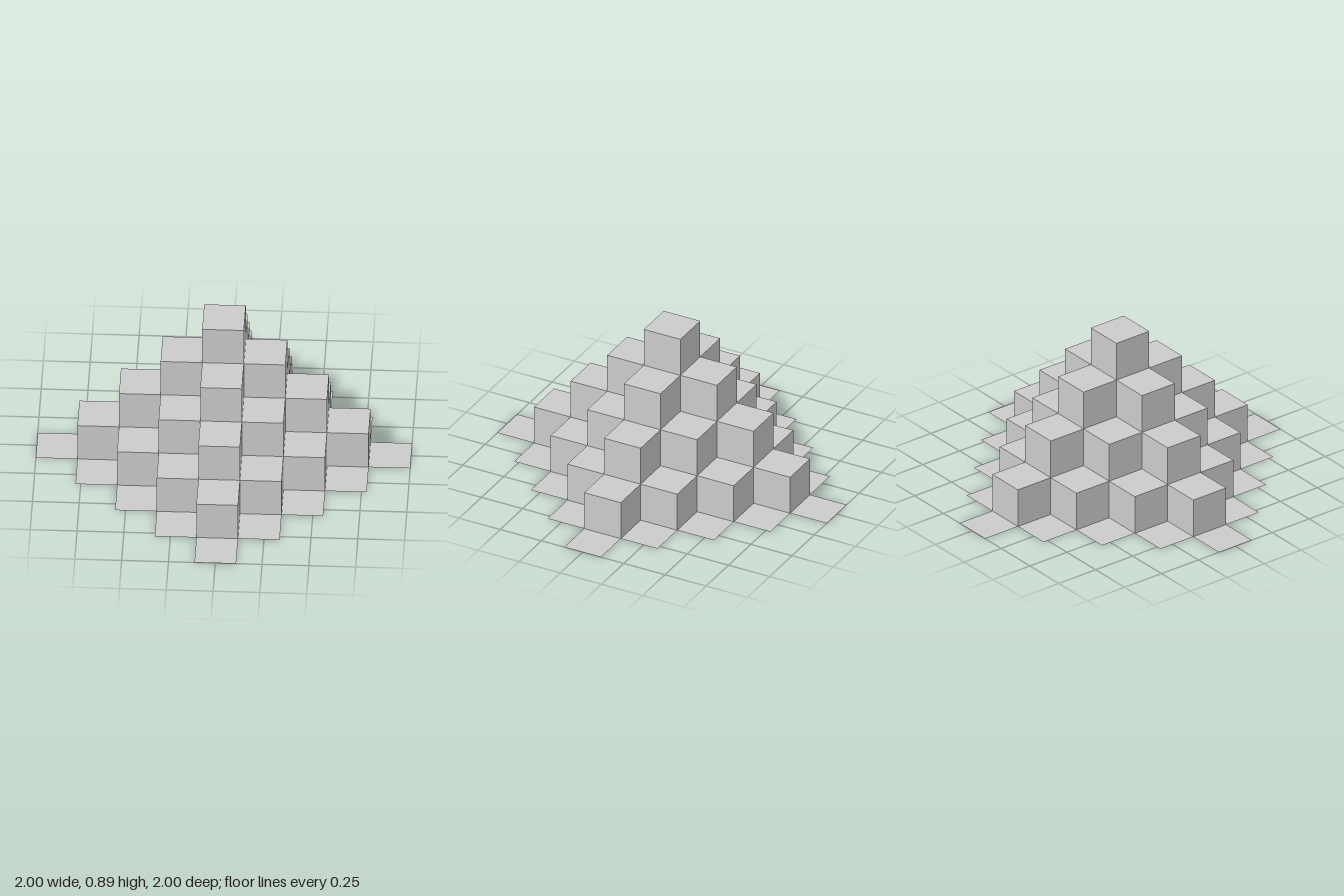
import * as THREE from 'three';
import { mergeGeometries } from 'three/addons/utils/BufferGeometryUtils.js';

const RADIUS = 4;                    // cells from the centre to each tip
const CELL = 2 / (2 * RADIUS + 1);   // edge of one cube

// Height of a column in cubes; the rim cells lie flat on the ground
const heightAt = (i, j) => RADIUS - Math.abs(i) - Math.abs(j);

const square = () => new THREE.PlaneGeometry(CELL, CELL);

export function createModel() {
  const model = new THREE.Group();
  model.name = 'steppedPyramid';
  const material = new THREE.MeshStandardMaterial({
    color: 0xcccccc, flatShading: true, side: THREE.DoubleSide,
  });

  const tiers = Array.from({ length: RADIUS + 1 }, () => []);
  const underside = [];

  for (let i = -RADIUS; i <= RADIUS; i++) {
    for (let j = -RADIUS; j <= RADIUS; j++) {
      const h = heightAt(i, j);
      if (h < 0) continue;
      const x = i * CELL, y = h * CELL, z = j * CELL;

      // Top of the column; a rim cell is a single thin sheet
      tiers[h].push(square().rotateX(-Math.PI / 2).translate(x, y, z));
      if (h === 0) continue;

      // Ground face closing the column
      underside.push(square().rotateX(Math.PI / 2).translate(x, 0, z));

      // Exposed walls, one cube high, wherever the neighbour steps down
      for (const [di, dj] of [[0, 1], [1, 0], [0, -1], [-1, 0]]) {
        if (heightAt(i + di, j + dj) > h) continue;
        tiers[h].push(square()
          .translate(0, 0, CELL / 2)
          .rotateY(Math.atan2(di, dj))
          .translate(x, y - CELL / 2, z));
      }
    }
  }

  const addPart = (name, faces) => {
    const mesh = new THREE.Mesh(mergeGeometries(faces), material);
    mesh.name = name;
    model.add(mesh);
  };
  tiers.forEach((faces, level) => addPart(level ? `cubeTier${level}` : 'groundRim', faces));
  addPart('underside', underside);

  return model;
}
